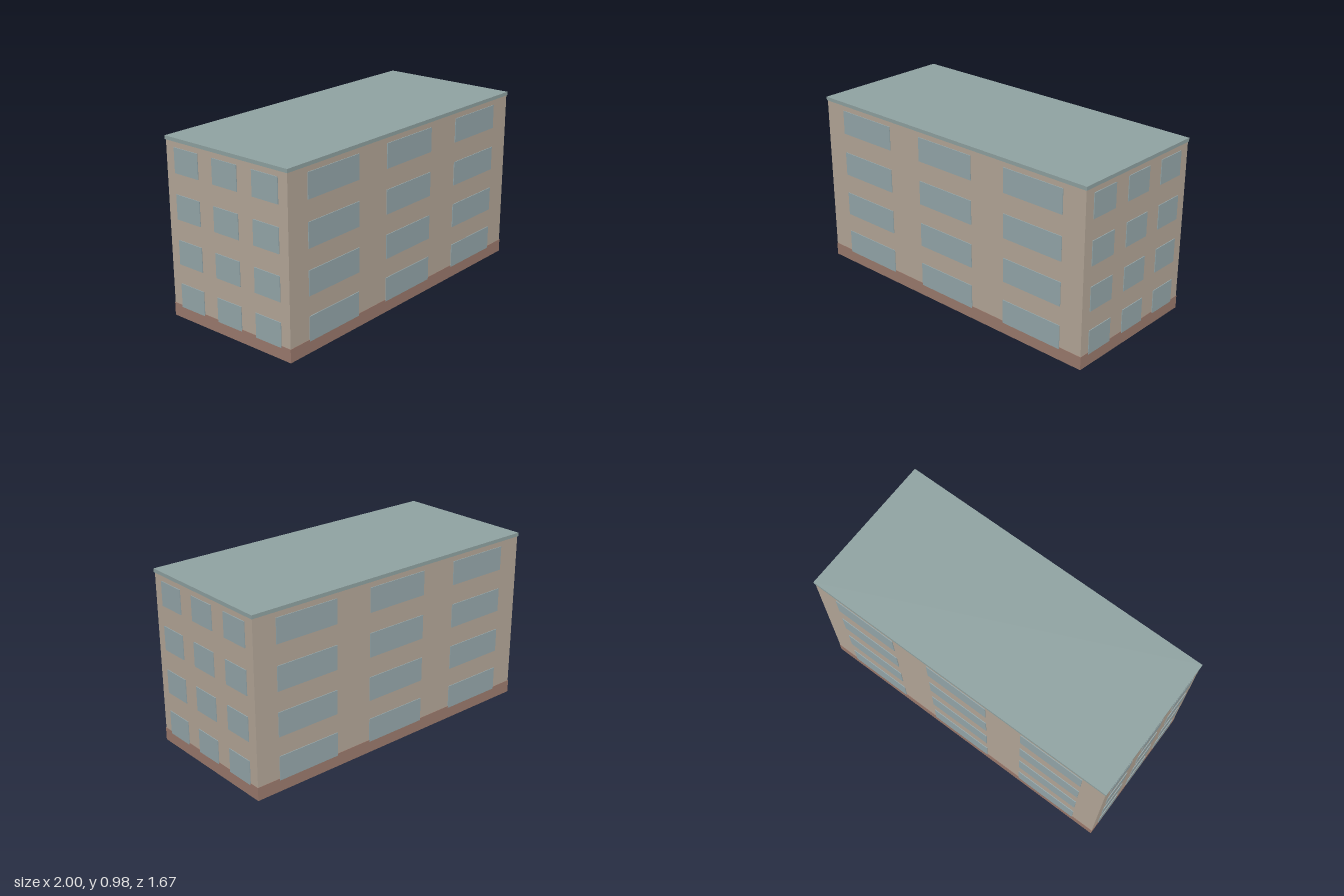
import * as THREE from 'three';

const LENGTH = 1.836, DEPTH = 0.828, HEIGHT = 0.98;
const ROOF = 0.02, PLINTH = 0.073, WINDOW_H = 0.134;
const INSET = 0.004; // walls sit just inside the roof edge
const ROWS = [0.13, 0.371, 0.617, 0.863];

function material(name, color, side = THREE.FrontSide) {
  const m = new THREE.MeshStandardMaterial({ color, side });
  m.name = name;
  return m;
}

export function createModel() {
  const wallMat = material('beige wall', 0xb5a899, THREE.DoubleSide);
  const plinthMat = material('brown plinth', 0x9c7b6e);
  const windowMat = material('grey blue glass', 0x96a8ab);
  const roofMat = material('grey green roof', 0x90a3a2);

  const building = new THREE.Group();
  building.name = 'building';

  function add(parent, name, geometry, mat, x, y, z) {
    const mesh = new THREE.Mesh(geometry, mat);
    mesh.name = name;
    mesh.position.set(x, y, z);
    parent.add(mesh);
  }

  // One facade: wall, plinth strip and a 3 x 4 grid of windows, facing local +z
  function facade(name, width, distance, angle) {
    const side = new THREE.Group();
    side.name = name;
    const w = width - 2 * INSET, d = distance - INSET, wallH = HEIGHT - ROOF;
    add(side, 'wall', new THREE.PlaneGeometry(w, wallH), wallMat, 0, wallH / 2, d);
    add(side, 'plinth', new THREE.BoxGeometry(w + 0.004, PLINTH, 0.002), plinthMat, 0, PLINTH / 2, d + 0.001);
    const glass = new THREE.BoxGeometry(width * 0.203, WINDOW_H, 0.004);
    for (const y of ROWS)
      for (const column of [-1, 0, 1])
        add(side, 'window', glass, windowMat, column * width * 0.323, y, d + 0.002);
    side.rotation.y = angle;
    building.add(side);
  }

  facade('frontFacade', LENGTH, DEPTH / 2, 0);
  facade('backFacade', LENGTH, DEPTH / 2, Math.PI);
  facade('leftFacade', DEPTH, LENGTH / 2, Math.PI / 2);
  facade('rightFacade', DEPTH, LENGTH / 2, -Math.PI / 2);

  // Flat roof slab; the shell stays open underneath
  add(building, 'roof', new THREE.BoxGeometry(LENGTH, ROOF, DEPTH), roofMat, 0, HEIGHT - ROOF / 2, 0);

  // The block stands at an angle to the axes
  building.rotation.y = THREE.MathUtils.degToRad(31.55);

  const model = new THREE.Group();
  model.name = 'apartmentBlock';
  model.add(building);
  return model;
}
